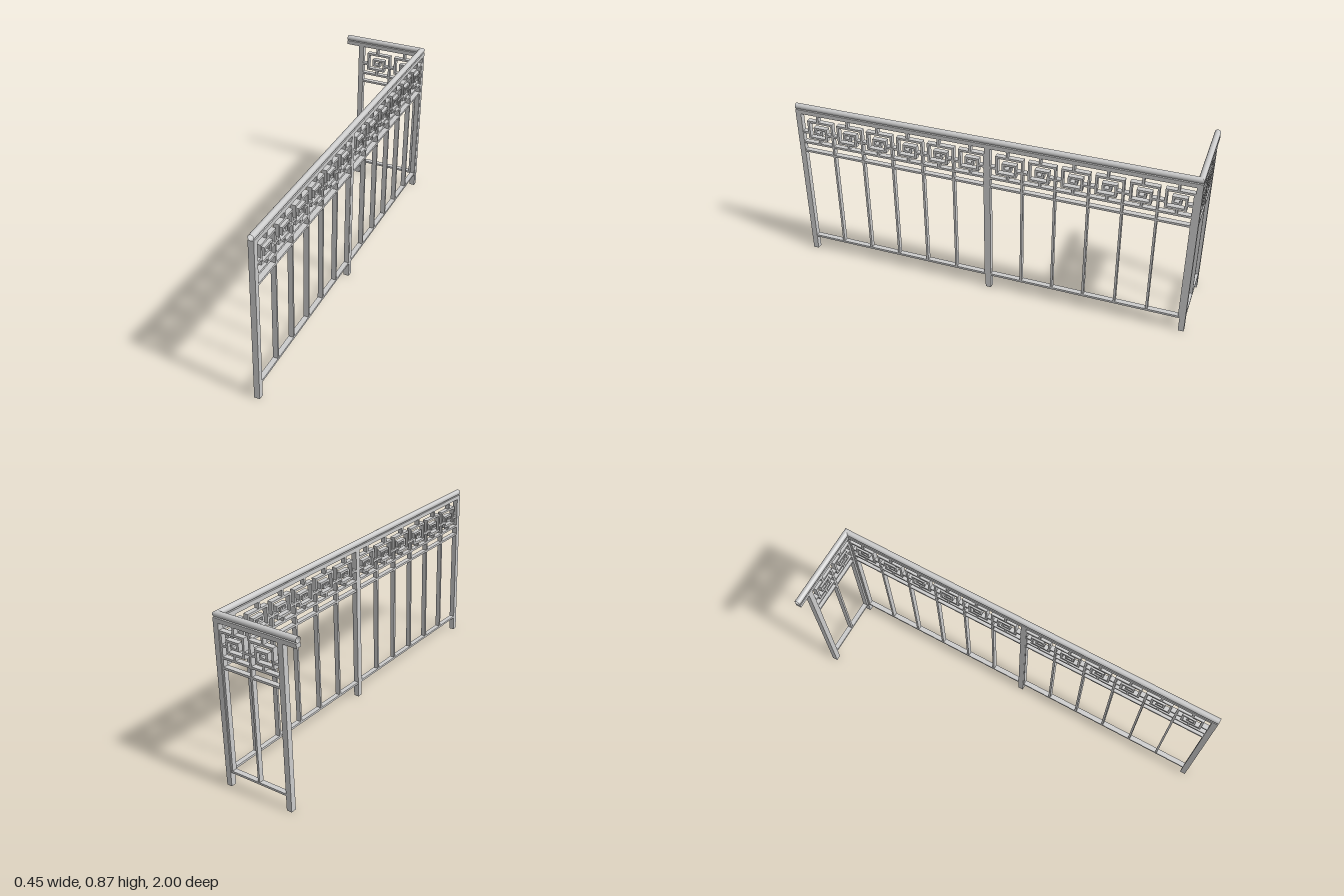
import * as THREE from 'three';

const mat = new THREE.MeshStandardMaterial({ color: 0xcccccc, side: THREE.DoubleSide });
const X = 0.21, Z = -0.986;      // corner of the two runs
const POST = 0.028, DEPTH = 0.026, BAR = 0.011, PITCH = 0.1595;

function add(parent, name, geometry, x = 0, y = 0, z = 0) {
  const mesh = new THREE.Mesh(geometry, mat);
  mesh.name = name;
  mesh.position.set(x, y, z);
  parent.add(mesh);
  return mesh;
}

// Box given by its limits in the panel plane
function bar(parent, name, x0, x1, y0, y1, depth = DEPTH) {
  return add(parent, name, new THREE.BoxGeometry(x1 - x0, y1 - y0, depth), (x0 + x1) / 2, (y0 + y1) / 2, 0);
}

// Square-cornered ribbon following a centre line, extruded through the panel
function fretGeometry(points, width, depth) {
  const p = points.map(([x, y]) => new THREE.Vector2(x, y));
  const h = width / 2;
  const normal = (i) => {
    const d = p[i + 1].clone().sub(p[i]).normalize();
    return new THREE.Vector2(-d.y, d.x).multiplyScalar(h);
  };
  const left = [], right = [];
  p.forEach((q, i) => {
    const o = new THREE.Vector2();
    if (i > 0) o.add(normal(i - 1));
    if (i < p.length - 1) o.add(normal(i));
    left.push(q.clone().add(o));
    right.push(q.clone().sub(o));
  });
  const shape = new THREE.Shape([...left, ...right.reverse()]);
  const g = new THREE.ExtrudeGeometry(shape, { depth, bevelEnabled: false });
  return g.translate(0, 0, -depth / 2);
}

const fret = fretGeometry([
  [0.155, 0.784], [0.029, 0.784], [0.029, 0.694], [0.121, 0.694], [0.121, 0.75],
  [0.061, 0.75], [0.061, 0.721], [0.096, 0.721], [0.096, 0.738]
], BAR, DEPTH);

// Infill panel: three rails, and a fret, links and baluster in each bay
function panel(bays) {
  const g = new THREE.Group();
  g.name = 'infillPanel';
  const length = bays * PITCH, h = BAR / 2;
  for (const [name, y] of [['bottomRail', 0.081], ['middleRail', 0.612], ['upperRail', 0.662]])
    bar(g, name, -0.007, length, y - h, y + h);
  for (let i = 0; i < bays; i++) {
    const bay = new THREE.Group();
    bay.name = 'bay';
    bay.position.x = i * PITCH;
    add(bay, 'spiralFret', fret);
    bar(bay, 'baluster', PITCH - 0.0105, PITCH, 0.081, 0.7895, DEPTH - 0.001);
    bar(bay, 'leftLink', -0.007, 0.024, 0.715, 0.726);
    bar(bay, 'rightLink', 0.126, 0.15, 0.715, 0.726);
    bar(bay, 'topLink', 0.076, 0.087, 0.789, 0.823);
    bar(bay, 'bottomLink', 0.076, 0.087, 0.667, 0.689);
    g.add(bay);
  }
  return g;
}

// Round handrail, cut at 45 degrees where the two runs meet
function handrail(parent, name, alongX) {
  const R = 0.0145;
  const g = new THREE.CylinderGeometry(R, R, 1, 32, 1, true);
  const p = g.attributes.position;
  for (let i = 0; i < p.count; i++) {
    const a = p.getX(i), b = p.getZ(i), atCorner = p.getY(i) > 0;
    if (alongX) p.setXYZ(i, atCorner ? X - a : -0.225, 0.857 + b, Z + a);
    else p.setXYZ(i, X + a, 0.857 + b, atCorner ? Z - a : 1);
  }
  g.computeVertexNormals();
  // Exact radial normals keep the seam smooth
  const n = g.attributes.normal;
  for (let i = 0; i < p.count; i++) {
    const a = alongX ? p.getZ(i) - Z : p.getX(i) - X, b = p.getY(i) - 0.857;
    n.setXYZ(i, alongX ? 0 : a / R, b / R, alongX ? a / R : 0);
  }
  // Keep the outside facing outwards
  if (alongX !== windsOutward(g, alongX)) { /* orientation handled below */ }
  if (!windsOutward(g, alongX)) {
    const idx = g.index;
    for (let i = 0; i < idx.count; i += 3) {
      const t = idx.getX(i);
      idx.setX(i, idx.getX(i + 1));
      idx.setX(i + 1, t);
    }
  }
  add(parent, name, g);
}

// True when the first face agrees with its vertex normal
function windsOutward(g) {
  const v = [0, 1, 2].map((k) => new THREE.Vector3().fromBufferAttribute(g.attributes.position, g.index.getX(k)));
  const face = v[1].sub(v[0]).cross(v[2].sub(v[0]));
  return face.dot(new THREE.Vector3().fromBufferAttribute(g.attributes.normal, g.index.getX(0))) > 0;
}

export function createModel() {
  const model = new THREE.Group();
  model.name = 'railing';

  // Posts
  for (const [x, z] of [[X, 0.986], [X, 0], [X, Z], [-0.14, Z]])
    add(model, 'post', new THREE.BoxGeometry(POST, 0.823, POST), x, 0.4115, z);

  // Flat bars under the handrail
  add(model, 'longTopBar', new THREE.BoxGeometry(POST, 0.021, 2), X, 0.8325, 0);
  add(model, 'shortTopBar', new THREE.BoxGeometry(0.421, 0.021, POST), -0.0145, 0.8325, Z);

  handrail(model, 'longHandrail', false);
  handrail(model, 'shortHandrail', true);

  // Two panels on the long run, one on the short return
  for (const z of [0.966, -0.017]) {
    const p = panel(6);
    p.rotation.y = Math.PI / 2;
    p.position.set(X, 0, z);
    model.add(p);
  }
  const end = panel(2);
  end.position.set(-0.125, 0, Z);
  model.add(end);

  return model;
}
